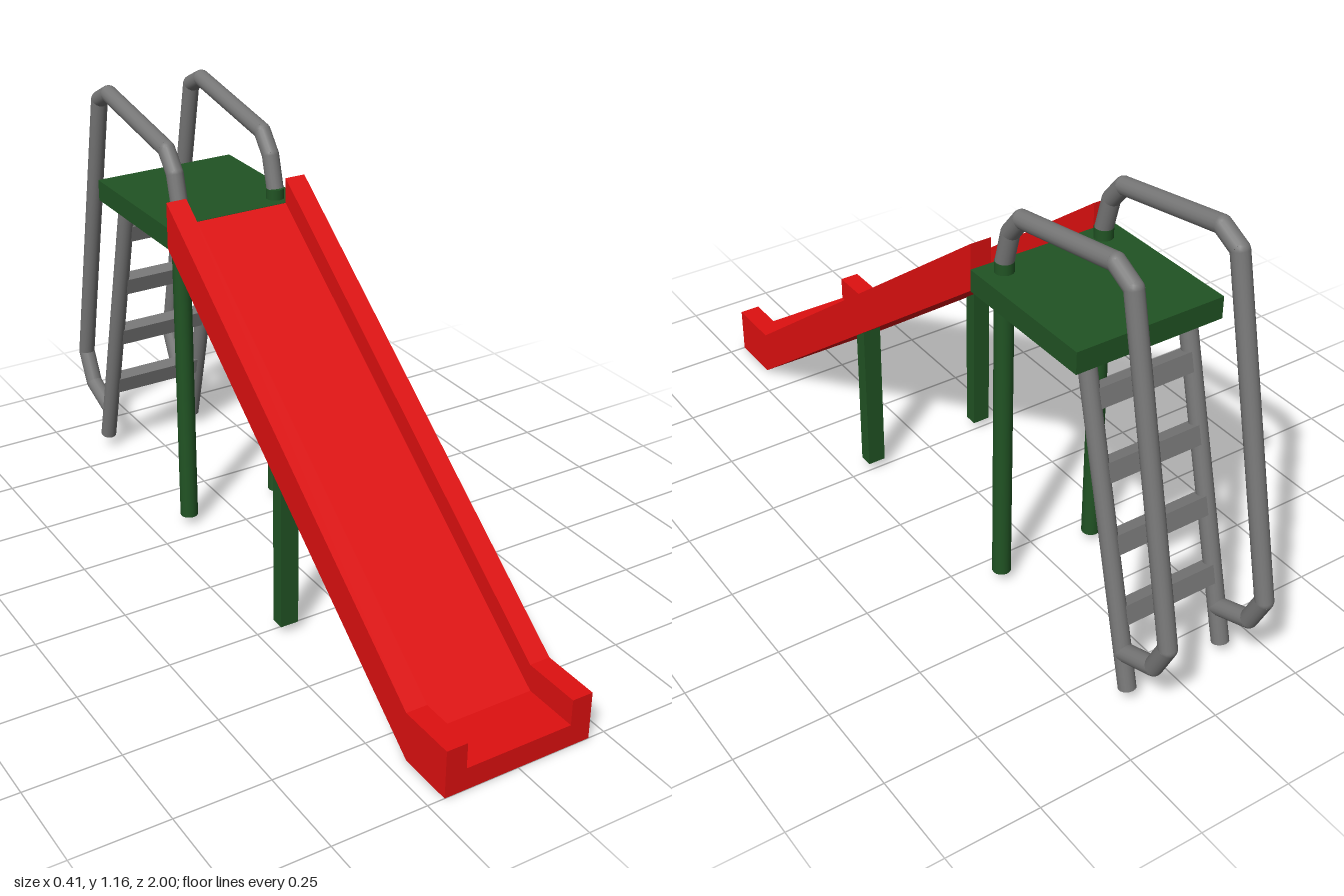
import * as THREE from 'three';

const red = new THREE.MeshStandardMaterial({ color: 0xdf1010, name: 'slide red' });
const green = new THREE.MeshStandardMaterial({ color: 0x215424, name: 'frame green' });
const grey = new THREE.MeshStandardMaterial({ color: 0x777777, name: 'pipe grey' });

const PIPE_X = 0.142;
const PIPE_R = 0.023;

function add(parent, name, geometry, material) {
  const mesh = new THREE.Mesh(geometry, material);
  mesh.name = name;
  parent.add(mesh);
  return mesh;
}

// Side profile of [z, y] points extruded across x from x0 to x1
function sidePanel(points, x0, x1) {
  const shape = new THREE.Shape(points.map(([z, y]) => new THREE.Vector2(z, y)));
  const geometry = new THREE.ExtrudeGeometry(shape, { depth: x1 - x0, bevelEnabled: false });
  return geometry.rotateY(-Math.PI / 2).translate(x1, 0, 0);
}

// Round bar between two [z, y] points at a given x
function bar(parent, name, x, a, b, radius, material) {
  const p = new THREE.Vector3(x, a[1], a[0]);
  const q = new THREE.Vector3(x, b[1], b[0]);
  const mesh = add(parent, name, new THREE.CylinderGeometry(radius, radius, p.distanceTo(q), 16), material);
  mesh.position.copy(p).lerp(q, 0.5);
  mesh.quaternion.setFromUnitVectors(new THREE.Vector3(0, 1, 0), q.sub(p).normalize());
}

// Bent pipe: straight bars with a round joint at each bend
function bentPipe(parent, name, x, points, radius, material) {
  const pipe = new THREE.Group();
  pipe.name = name;
  points.slice(1).forEach((p, i) => {
    bar(pipe, name + 'Bar', x, points[i], p, radius, material);
    if (i < points.length - 2) {
      add(pipe, name + 'Bend', new THREE.SphereGeometry(radius, 16, 12), material).position.set(x, p[1], p[0]);
    }
  });
  parent.add(pipe);
}

export function createModel() {
  const model = new THREE.Group();
  model.name = 'playgroundSlide';

  // Chute: bed between two raised side walls
  const underside = [[1, 0], [0.85, 0], [-0.275, 0.86]];
  const bedTop = [[-0.275, 0.916], [0.85, 0.06], [1, 0.06]];
  const wallTop = [[-0.275, 0.985], [0.843, 0.13], [1, 0.13]];
  add(model, 'slideBed', sidePanel([...underside, ...bedTop], -0.147, 0.147), red);
  add(model, 'slideWallLeft', sidePanel([...underside, ...wallTop], 0.147, 0.204), red);
  add(model, 'slideWallRight', sidePanel([...underside, ...wallTop], -0.204, -0.147), red);

  // Platform
  add(model, 'platform', new THREE.BoxGeometry(0.408, 0.058, 0.41), green).position.set(0, 0.888, -0.48);

  const railTop = [-0.635, 0.87];
  const railFoot = [-0.845, 0.04];
  const handrailPath = [
    [-0.82, 0.135], [-0.932, 0.177], [-0.975, 0.265], [-0.787, 1.108],
    [-0.725, 1.14], [-0.388, 1.083], [-0.345, 1.03], [-0.322, 0.943],
  ];

  for (const [side, s] of [['Left', 1], ['Right', -1]]) {
    const x = s * PIPE_X;
    // Round posts under the platform, square legs under the chute
    bar(model, 'post' + side, x, [-0.322, 0.027], [-0.322, 0.945], 0.0245, green);
    add(model, 'slideLeg' + side, new THREE.BoxGeometry(0.05, 0.445, 0.038), green)
      .position.set(s * 0.175, 0.2475, 0.265);
    // Ladder rail and handrail
    bar(model, 'ladderRail' + side, x, railTop, railFoot, 0.0225, grey);
    bentPipe(model, 'handrail' + side, x, handrailPath, PIPE_R, grey);
  }

  // Rungs tilted with the ladder
  const lean = (railTop[0] - railFoot[0]) / (railTop[1] - railFoot[1]);
  for (let i = 0; i < 4; i++) {
    const y = 0.23 + i * 0.177;
    const rung = add(model, 'rung', new THREE.BoxGeometry(2 * PIPE_X, 0.05, 0.038), grey);
    rung.position.set(0, y, railFoot[0] + (y - railFoot[1]) * lean);
    rung.rotation.x = Math.atan(lean);
  }

  return model;
}
